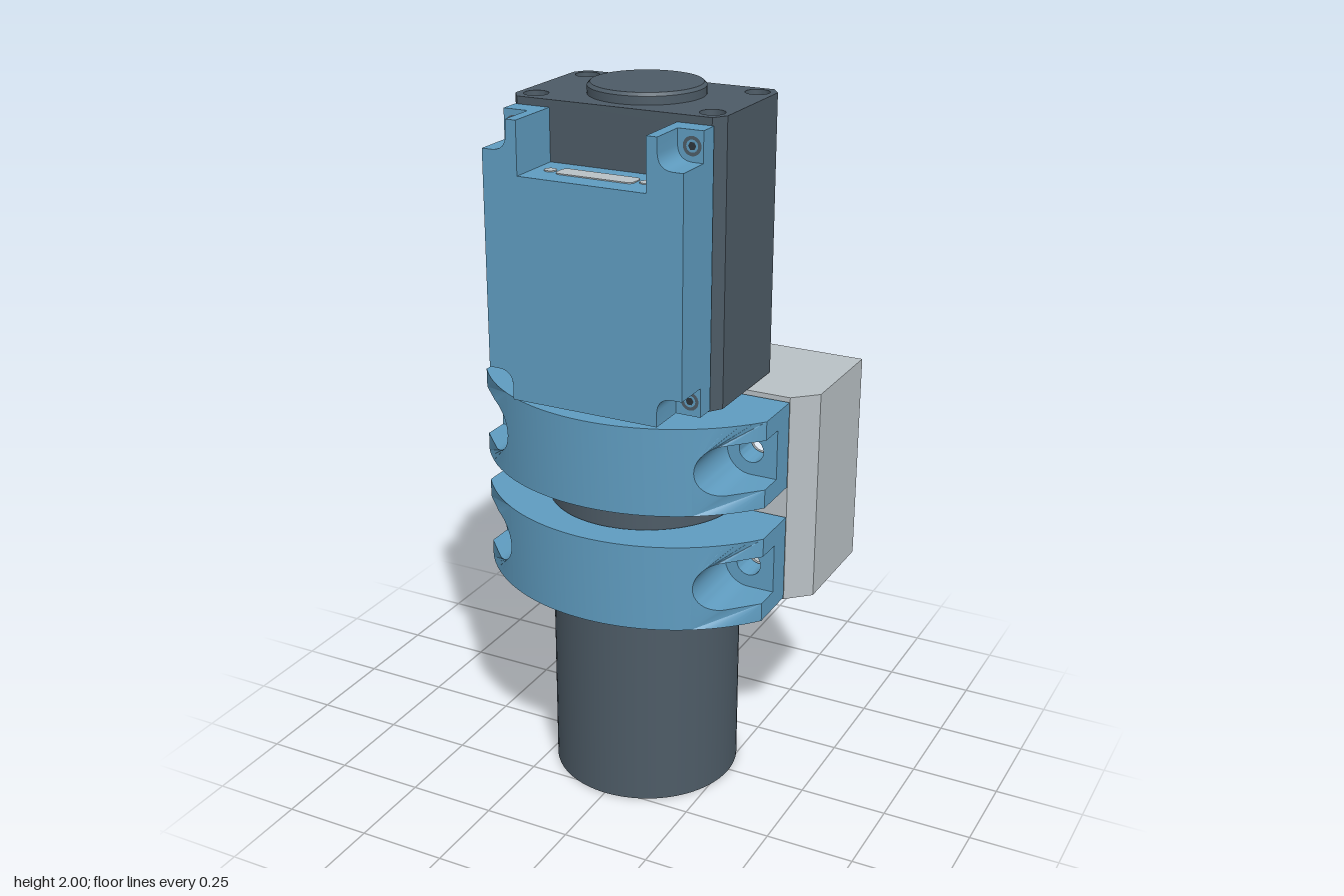
import * as THREE from 'three';
import { toCreasedNormals } from 'three/addons/utils/BufferGeometryUtils.js';

const mat = (name, color, side = THREE.FrontSide) => {
  const m = new THREE.MeshStandardMaterial({ color, side });
  m.name = name;
  return m;
};

export function createModel() {
  const root = new THREE.Group();
  root.name = 'spindleAssembly';
  const blue = mat('blue', 0x5f9cc0);
  const dark = mat('slate', 0x4d5b66);
  const hole = mat('holeShadow', 0x2c343a);
  const grey = mat('lightGrey', 0xb9c1c5, THREE.DoubleSide);
  const AXIS = 0.005; // z of the spindle axis

  const add = (name, geo, material, x = 0, y = 0, z = 0, parent = root) => {
    const m = new THREE.Mesh(geo, material);
    m.name = name;
    m.position.set(x, y, z);
    parent.add(m);
    return m;
  };
  const shapeOf = (pts) => new THREE.Shape(pts.map(([x, y]) => new THREE.Vector2(x, y)));
  const cutCircle = (shape, x, y, r) => {
    const p = new THREE.Path();
    p.absarc(x, y, r, 0, Math.PI * 2, true);
    shape.holes.push(p);
  };
  const extrude = (shape, depth, curveSegments = 16) =>
    toCreasedNormals(new THREE.ExtrudeGeometry(shape, { depth, bevelEnabled: false, curveSegments }), 0.5);
  // Extrudes an outline given as (x, -z) upward along y
  const extrudeUp = (shape, height) => extrude(shape, height).rotateX(-Math.PI / 2);

  // Spindle body
  add('spindleBody', new THREE.CylinderGeometry(0.267, 0.267, 1.185, 64), dark, 0, 0.5925, AXIS);

  // Head block with chamfered vertical corners and four counterbores on top
  const headOutline = () => {
    const x = 0.3, f = -0.195, b = 0.18, c = 0.025;
    return shapeOf([[-x + c, f], [x - c, f], [x, f + c + 0.01], [x, b - c - 0.01],
      [x - c, b], [-x + c, b], [-x, b - c - 0.01], [-x, f + c + 0.01]]);
  };
  add('headBlock', extrudeUp(headOutline(), 0.735), dark, 0, 1.205, 0);
  const lid = headOutline();
  for (const x of [-0.25, 0.25]) for (const z of [-0.13, 0.14]) {
    cutCircle(lid, x, -z, 0.033);
    add('headScrewHole', new THREE.CylinderGeometry(0.018, 0.018, 0.004, 24), grey, x, 1.942, z);
  }
  add('headLid', extrudeUp(lid, 0.03), dark, 0, 1.94, 0);
  const cap = [[0, 0], [0.155, 0], [0.155, 0.022], [0.147, 0.03], [0, 0.03]];
  add('headCap', toCreasedNormals(new THREE.LatheGeometry(cap.map(([x, y]) => new THREE.Vector2(x, y)), 64), 0.4),
    dark, 0, 1.97, AXIS);
  for (const x of [-0.225, 0.225]) for (const y of [1.26, 1.73]) {
    add('rearHole', new THREE.CylinderGeometry(0.022, 0.022, 0.004, 24).rotateX(Math.PI / 2), hole, x, y, -0.18);
  }

  // Front cover: full rear layer, front layer with scooped corners, open notch at the top
  const rear = shapeOf([[-0.28, 1.21], [0.28, 1.21], [0.28, 1.95], [0.18, 1.95], [0.18, 1.81],
    [-0.18, 1.81], [-0.18, 1.95], [-0.28, 1.95]]);
  add('coverBase', extrude(rear, 0.057), blue, 0, 0, 0.195);
  const front = new THREE.Shape();
  front.moveTo(-0.21, 1.21);
  front.lineTo(0.21, 1.21);
  front.lineTo(0.21, 1.25);
  front.quadraticCurveTo(0.212, 1.288, 0.25, 1.29);
  front.lineTo(0.28, 1.29);
  front.lineTo(0.28, 1.87);
  front.lineTo(0.25, 1.87);
  front.quadraticCurveTo(0.212, 1.872, 0.21, 1.91);
  front.lineTo(0.21, 1.95);
  front.lineTo(0.18, 1.95);
  front.lineTo(0.18, 1.81);
  front.lineTo(-0.18, 1.81);
  front.lineTo(-0.18, 1.95);
  front.lineTo(-0.21, 1.95);
  front.lineTo(-0.21, 1.91);
  front.quadraticCurveTo(-0.212, 1.872, -0.25, 1.87);
  front.lineTo(-0.28, 1.87);
  front.lineTo(-0.28, 1.29);
  front.lineTo(-0.25, 1.29);
  front.quadraticCurveTo(-0.212, 1.288, -0.21, 1.25);
  add('coverFront', extrude(front, 0.108, 8), blue, 0, 0, 0.252);
  for (const x of [-0.25, 0.25]) for (const y of [1.25, 1.91]) {
    add('coverScrew', new THREE.RingGeometry(0.016, 0.025, 24), dark, x, y, 0.2535);
    add('coverScrewSocket', new THREE.CircleGeometry(0.011, 6), hole, x, y, 0.2535);
  }

  // Connector plate and its two studs on the notch floor
  const plug = new THREE.Shape();
  plug.absarc(0.095, 0.0125, 0.015, 0, Math.PI / 2);
  plug.absarc(-0.095, 0.0125, 0.015, Math.PI / 2, Math.PI);
  plug.absarc(-0.095, -0.0125, 0.015, Math.PI, Math.PI * 1.5);
  plug.absarc(0.095, -0.0125, 0.015, Math.PI * 1.5, Math.PI * 2);
  add('connectorPlate', extrudeUp(plug, 0.004), grey, 0, 1.809, 0.272);
  for (const x of [-0.135, 0.135]) {
    add('connectorStud', new THREE.CylinderGeometry(0.016, 0.016, 0.004, 20), grey, x, 1.811, 0.272);
  }

  // Clamp jaws: arched middle plus a lug with an open counterbore on each side
  const H = 0.245, IN = 0.276, OUT = 0.423, BOLT = 0.349, BORE = 0.272;
  const arch = (x) => -0.166 + Math.sqrt(0.531 * 0.531 - x * x);
  const middle = [];
  for (let i = 0; i <= 24; i++) {
    const x = -IN + (2 * IN * i) / 24;
    middle.push([x, -arch(x)]);
  }
  for (let i = 0; i <= 40; i++) {
    const a = (Math.PI * i) / 40;
    middle.push([BORE * Math.cos(a), -AXIS - BORE * Math.sin(a)]);
  }
  middle.splice(25, 0, [IN, -AXIS]);
  middle.push([-IN, -AXIS]);

  const lugFront = (s) => {
    const pts = [], n = 6;
    for (let i = 0; i <= n; i++) pts.push([s * (IN + ((OUT - IN) * i) / n), -H / 2]);
    pts.push([s * OUT, -0.07]);
    for (let i = 0; i <= 20; i++) {
      const a = -Math.PI / 2 - (Math.PI * i) / 20;
      pts.push([s * (BOLT + 0.07 * Math.cos(a)), 0.07 * Math.sin(a)]);
    }
    pts.push([s * OUT, 0.07]);
    for (let i = n; i >= 0; i--) pts.push([s * (IN + ((OUT - IN) * i) / n), H / 2]);
    const geo = new THREE.ExtrudeGeometry(shapeOf(pts), { depth: 1, bevelEnabled: false });
    const p = geo.attributes.position;
    for (let i = 0; i < p.count; i++) p.setZ(i, p.getZ(i) > 0.5 ? arch(p.getX(i)) : 0.08);
    geo.computeVertexNormals();
    return toCreasedNormals(geo, 0.5);
  };

  for (const y of [0.733, 1.068]) {
    const clamp = new THREE.Group();
    clamp.name = 'clampJaw';
    clamp.position.y = y;
    root.add(clamp);
    add('clampArch', extrudeUp(shapeOf(middle), H), blue, 0, -H / 2, 0, clamp);
    for (const s of [-1, 1]) {
      const base = shapeOf([[s * IN, -H / 2], [s * OUT, -H / 2], [s * OUT, H / 2], [s * IN, H / 2]]);
      cutCircle(base, s * BOLT, 0, 0.035);
      add('clampLugBase', extrude(base, 0.08 - AXIS), blue, 0, 0, AXIS, clamp);
      add('clampLugFront', lugFront(s), blue, 0, 0, 0, clamp);
    }
  }

  // Mounting bracket: thin shell, open at the back
  const Y0 = 0.6, Y1 = 1.2, FACE = -0.005;
  const bracket = new THREE.Group();
  bracket.name = 'mountingBracket';
  root.add(bracket);
  const plate = [[-0.483, 0.37], [-0.483, 0.065], [-0.42, -FACE], [-BORE, -FACE]];
  for (let i = 1; i < 40; i++) {
    const a = Math.PI - (Math.PI * i) / 40;
    plate.push([BORE * Math.cos(a), Math.max(-FACE, -AXIS + BORE * Math.sin(a))]);
  }
  plate.push([BORE, -FACE], [0.42, -FACE], [0.483, 0.065], [0.483, 0.37]);
  const plateGeo = new THREE.ShapeGeometry(shapeOf(plate)).rotateX(-Math.PI / 2);
  add('bracketTop', plateGeo, grey, 0, Y1, 0, bracket);
  add('bracketBottom', plateGeo.clone().rotateZ(Math.PI), grey, 0, Y0, 0, bracket);
  add('bracketBore', new THREE.CylinderGeometry(BORE, BORE, Y1 - Y0, 48, 1, true, Math.PI / 2, Math.PI),
    grey, 0, 0.9, AXIS, bracket);
  for (const s of [-1, 1]) {
    const wall = shapeOf([[s * BORE, Y0], [s * 0.42, Y0], [s * 0.42, Y1], [s * BORE, Y1]]);
    for (const y of [0.733, 1.068]) cutCircle(wall, s * BOLT, y, 0.035);
    add('bracketFace', new THREE.ShapeGeometry(wall, 24), grey, 0, 0, FACE, bracket);
    add('bracketSide', new THREE.PlaneGeometry(0.305, 0.6).rotateY((s * Math.PI) / 2),
      grey, s * 0.483, 0.9, -0.2175, bracket);
    add('bracketChamfer', new THREE.PlaneGeometry(Math.hypot(0.063, 0.06), 0.6).rotateY(s * Math.atan2(0.06, 0.063)),
      grey, s * 0.4515, 0.9, -0.035, bracket);
  }

  // Round openings in the rear of the bore, showing the spindle
  const opening = new THREE.RingGeometry(0.001, 0.07, 36, 6).rotateY(Math.PI);
  const op = opening.attributes.position;
  for (let i = 0; i < op.count; i++) {
    const a = op.getX(i) / 0.274;
    op.setX(i, 0.274 * Math.sin(a));
    op.setZ(i, -0.274 * Math.cos(a));
  }
  opening.computeVertexNormals();
  for (const y of [0.775, 1.065]) add('boreOpening', opening, dark, 0, y, AXIS, bracket);

  return root;
}
